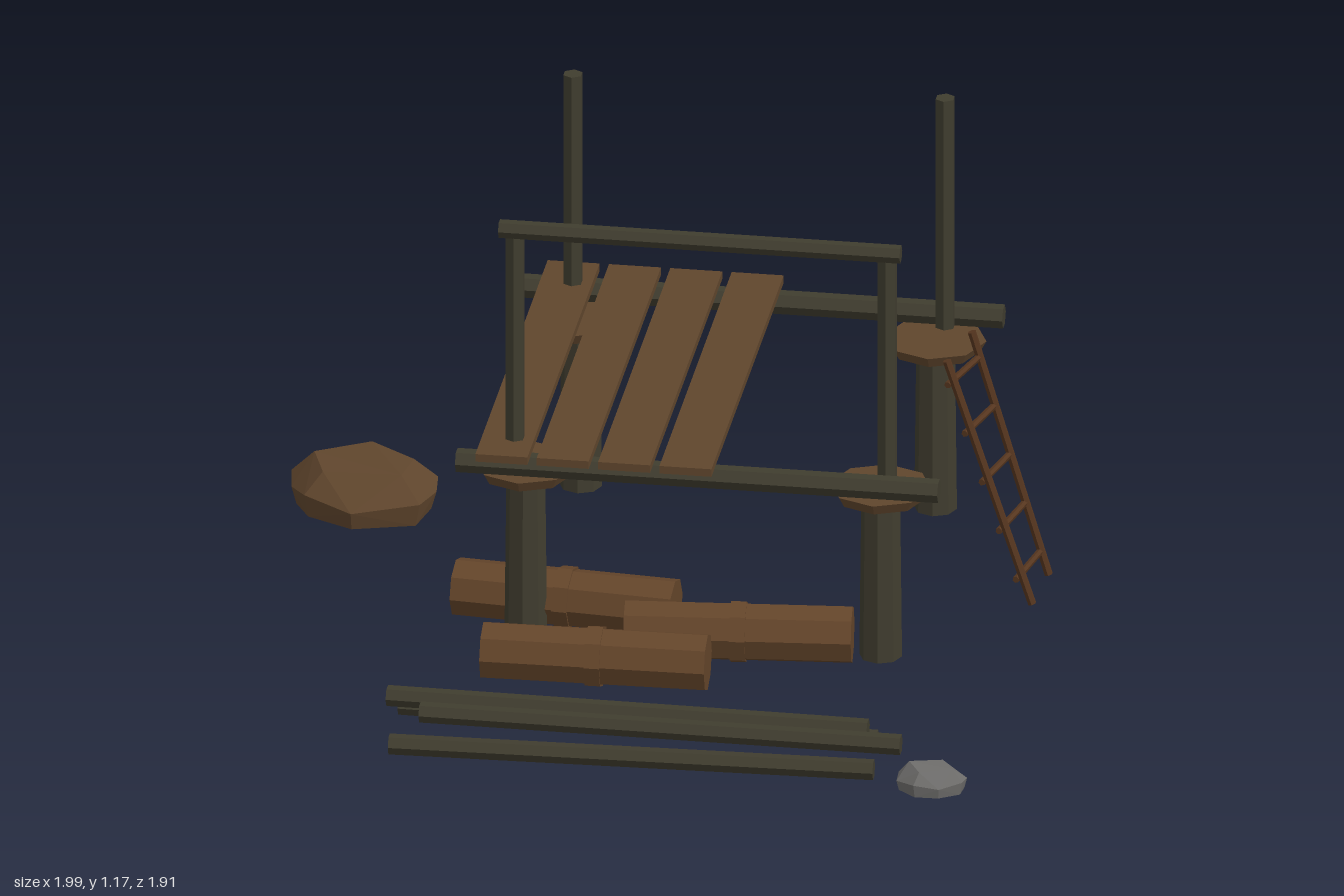
import * as THREE from 'three';
import { ConvexGeometry } from 'three/addons/geometries/ConvexGeometry.js';

function material(name, color) {
  const m = new THREE.MeshStandardMaterial({ color, flatShading: true });
  m.name = name;
  return m;
}

export function createModel() {
  const darkWood = material('dark wood', 0x403d2f);
  const plankWood = material('plank wood', 0x60462d);
  const logWood = material('log wood', 0x64452a);
  const ladderWood = material('ladder wood', 0x56361f);
  const earthStone = material('brown stone', 0x60462d);
  const greyStone = material('grey stone', 0x6f6e6c);

  const model = new THREE.Group();
  model.name = 'lookoutPlatform';

  const add = (name, geometry, mat, parent = model) => {
    const mesh = new THREE.Mesh(geometry, mat);
    mesh.name = name;
    parent.add(mesh);
    return mesh;
  };

  // straight faceted bar between two points
  const up = new THREE.Vector3(0, 1, 0);
  const bar = (name, a, b, r, sides, mat, parent = model, rTop = r) => {
    const from = new THREE.Vector3(...a), to = new THREE.Vector3(...b);
    const dir = to.clone().sub(from);
    const mesh = add(name, new THREE.CylinderGeometry(rTop, r, dir.length(), sides), mat, parent);
    mesh.position.copy(from).add(to).multiplyScalar(0.5);
    mesh.quaternion.setFromUnitVectors(up, dir.normalize());
    return mesh;
  };

  // four corner supports: thick post, collar and slim upper post
  for (const [x, ux] of [[-0.28, -0.304], [0.634, 0.655]]) {
    for (const [z, uz] of [[0.1, 0.127], [-0.812, -0.835]]) {
      const corner = new THREE.Group();
      corner.name = 'cornerSupport';
      model.add(corner);
      bar('post', [x, 0, z], [x, 0.45, z], 0.055, 8, darkWood, corner, 0.05);
      bar('collar', [x, 0.445, z], [x, 0.474, z], 0.115, 8, plankWood, corner, 0.131);
      bar('upperPost', [ux, 0.498, uz], [ux, 1.138, uz], 0.026, 6, darkWood, corner);
    }
  }

  // handrail and the two beams under the deck
  bar('handrail', [-0.342, 1.143, 0.14], [0.692, 1.143, 0.14], 0.024, 6, darkWood);
  for (const z of [0.184, -0.896]) {
    bar('deckBeam', [-0.445, 0.508, z], [0.797, 0.508, z], 0.031, 6, darkWood);
  }

  // deck planks
  for (let i = 0; i < 4; i++) {
    const plank = add('deckPlank', new THREE.BoxGeometry(0.134, 0.021, 1.2), plankWood);
    plank.position.set(-0.321 + i * 0.158, 0.544, -0.358);
  }

  // leaning ladder
  const ladder = new THREE.Group();
  ladder.name = 'ladder';
  model.add(ladder);
  const nearZ = -0.262, farZ = -0.446;
  bar('ladderRail', [0.968, 0.003, nearZ], [0.748, 0.668, nearZ], 0.011, 6, ladderWood, ladder);
  bar('ladderRail', [0.982, 0.003, farZ], [0.784, 0.668, farZ], 0.011, 6, ladderWood, ladder);
  for (let i = 0; i < 5; i++) {
    const y = 0.067 + i * 0.133;
    bar('ladderRung', [0.948 - y * 0.331, y, nearZ], [0.981 - y * 0.298, y, farZ], 0.009, 6, ladderWood, ladder);
  }

  // loose logs, each with a band round the middle
  const logs = [
    [-0.345, 0.39, 0.232, 0.38],
    [-0.472, 0.015, 0.1, 0.062],
    [-0.008, 0.207, 0.57, 0.155],
  ];
  for (const [x1, z1, x2, z2] of logs) {
    const log = new THREE.Group();
    log.name = 'looseLog';
    model.add(log);
    const a = [x1, 0.077, z1], b = [x2, 0.077, z2];
    const at = (t) => [x1 + (x2 - x1) * t, 0.077, z1 + (z2 - z1) * t];
    bar('logBody', a, b, 0.076, 8, logWood, log);
    bar('logBand', at(0.466), at(0.534), 0.082, 8, logWood, log);
  }

  // spare poles lying in front
  const poles = [
    [-0.522, 0.643, 0.715, 0.676, 0.027],
    [-0.543, 0.706, 0.698, 0.722, 0.078],
    [-0.445, 0.793, 0.795, 0.803, 0.078],
    [-0.51, 0.888, 0.733, 0.855, 0.027],
  ];
  for (const [x1, z1, x2, z2, y] of poles) {
    bar('sparePole', [x1, y, z1], [x2, y, z2], 0.027, 6, darkWood);
  }

  // boulders: hull of a flat base, a wide waist and an uneven top
  const boulder = (name, outline, [cx, cz], height, mat) => {
    const points = [];
    outline.forEach(([x, z], i) => {
      const ring = (s, y) => points.push(new THREE.Vector3(cx + (x - cx) * s, y, cz + (z - cz) * s));
      ring(0.93, 0);
      ring(1, height * (i % 2 ? 0.5 : 0.38));
      if (i % 2) ring(0.68, height * (i % 4 === 1 ? 1 : 0.93));
    });
    add(name, new ConvexGeometry(points), mat);
  };
  boulder('brownBoulder', [
    [-0.89, -0.765], [-1, -0.655], [-0.99, -0.585], [-0.945, -0.505], [-0.815, -0.44],
    [-0.645, -0.49], [-0.62, -0.61], [-0.625, -0.67], [-0.69, -0.735], [-0.8, -0.775],
  ], [-0.81, -0.61], 0.125, earthStone);
  boulder('greyRock', [
    [0.86, 0.828], [0.8, 0.87], [0.8, 0.91], [0.85, 0.952],
    [0.915, 0.95], [0.97, 0.915], [0.975, 0.865], [0.92, 0.825],
  ], [0.887, 0.89], 0.068, greyStone);

  return model;
}
